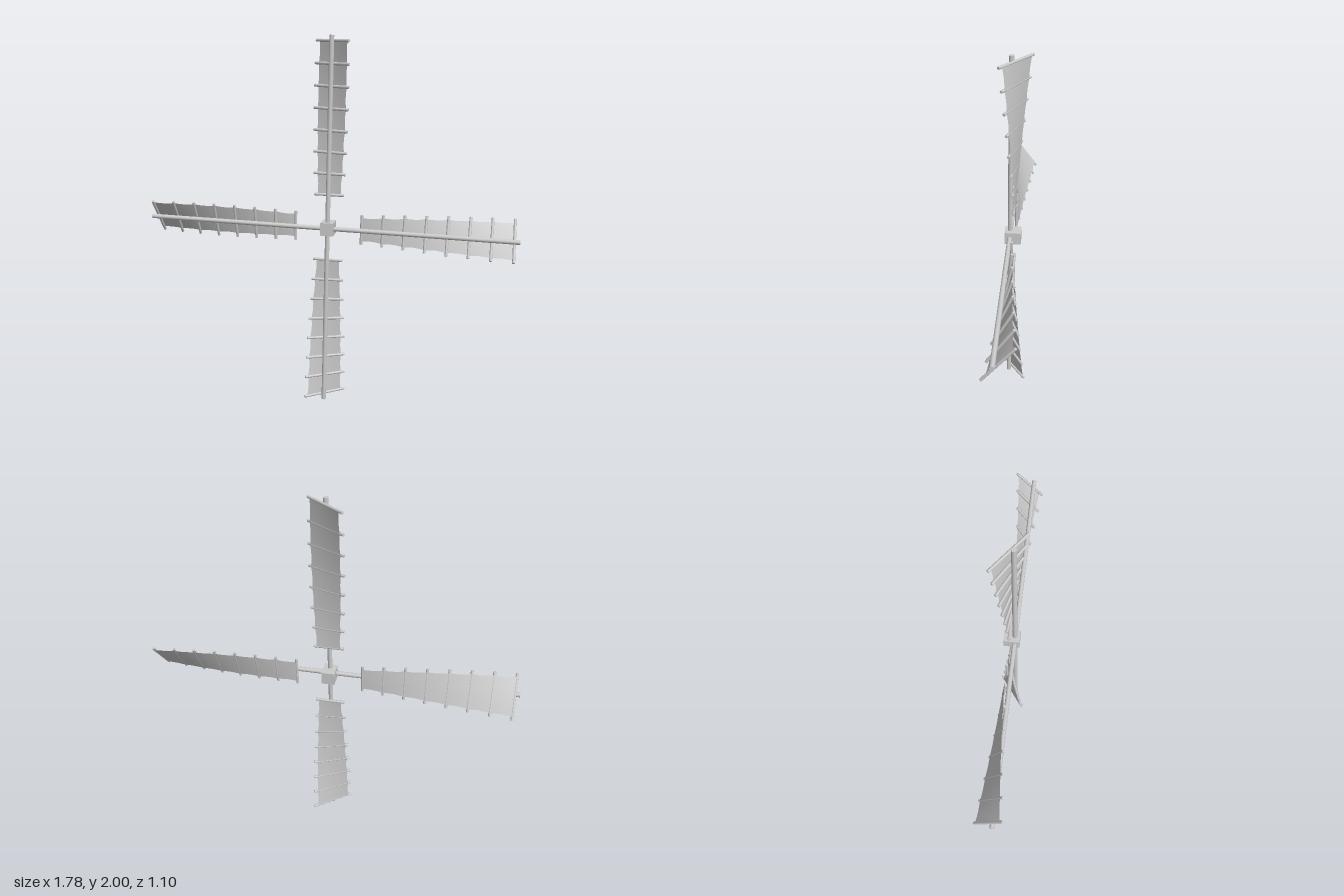
import * as THREE from 'three';

const ROOT = 0.18, TIP = 0.972;      // radial extent of each sail
const TWIST = 0.655;                 // pitch at the tip, zero at the root
const RIB_Z = -0.022;                // ribs lie behind the stocks
const BAYS = 7;

const material = new THREE.MeshStandardMaterial({ color: 0xcccccc });
const clothMaterial = new THREE.MeshStandardMaterial({ color: 0xcccccc, side: THREE.DoubleSide });
const lerp = THREE.MathUtils.lerp;

function part(name, geometry, parent, mat = material) {
  const mesh = new THREE.Mesh(geometry, mat);
  mesh.name = name;
  parent.add(mesh);
  return mesh;
}

// Twisted cloth, widening to the tip, with edges dipping between ribs
function clothGeometry() {
  const geometry = new THREE.PlaneGeometry(2, 1, 4, BAYS * 4);
  const p = geometry.attributes.position;
  for (let i = 0; i < p.count; i++) {
    const t = p.getY(i) + 0.5;
    const a = TWIST * t;
    const dip = 0.005 * Math.abs(Math.sin(Math.PI * BAYS * t));
    const s = p.getX(i) * (lerp(0.064, 0.105, t) - dip);
    p.setXYZ(i,
      s * Math.cos(a) + 0.006 * Math.sin(a),
      lerp(ROOT, TIP, t),
      RIB_Z + s * Math.sin(a) - 0.006 * Math.cos(a));
  }
  geometry.computeVertexNormals();
  return geometry;
}

// One sail along +y: cloth and its ribs
function makeSail(cloth) {
  const sail = new THREE.Group();
  sail.name = 'sail';
  part('sailCloth', cloth, sail, clothMaterial);
  for (let i = 0; i <= BAYS; i++) {
    const t = i / BAYS;
    const rib = part('sailRib', new THREE.CylinderGeometry(0.0075, 0.0075, lerp(0.16, 0.247, t), 8), sail);
    rib.position.set(0, lerp(ROOT, TIP, t), RIB_Z);
    rib.rotation.set(0, -TWIST * t, Math.PI / 2);
  }
  return sail;
}

export function createModel() {
  const model = new THREE.Group();
  model.name = 'windmillSails';

  const rotor = new THREE.Group();
  rotor.name = 'rotor';
  rotor.position.set(0, 1, 0.022);
  rotor.rotation.set(-0.0125, 0.5167, -0.02, 'YXZ');
  model.add(rotor);

  // Hub block
  part('hub', new THREE.BoxGeometry(0.07, 0.07, 0.087), rotor).position.z = -0.016;

  // Two crossed stocks
  for (let i = 0; i < 2; i++) {
    part('stock', new THREE.CylinderGeometry(0.0125, 0.0125, 1.998, 12), rotor).rotation.z = i * Math.PI / 2;
  }

  // Four sails
  const cloth = clothGeometry();
  for (let i = 0; i < 4; i++) {
    const sail = makeSail(cloth);
    sail.rotation.z = i * Math.PI / 2;
    rotor.add(sail);
  }
  return model;
}
